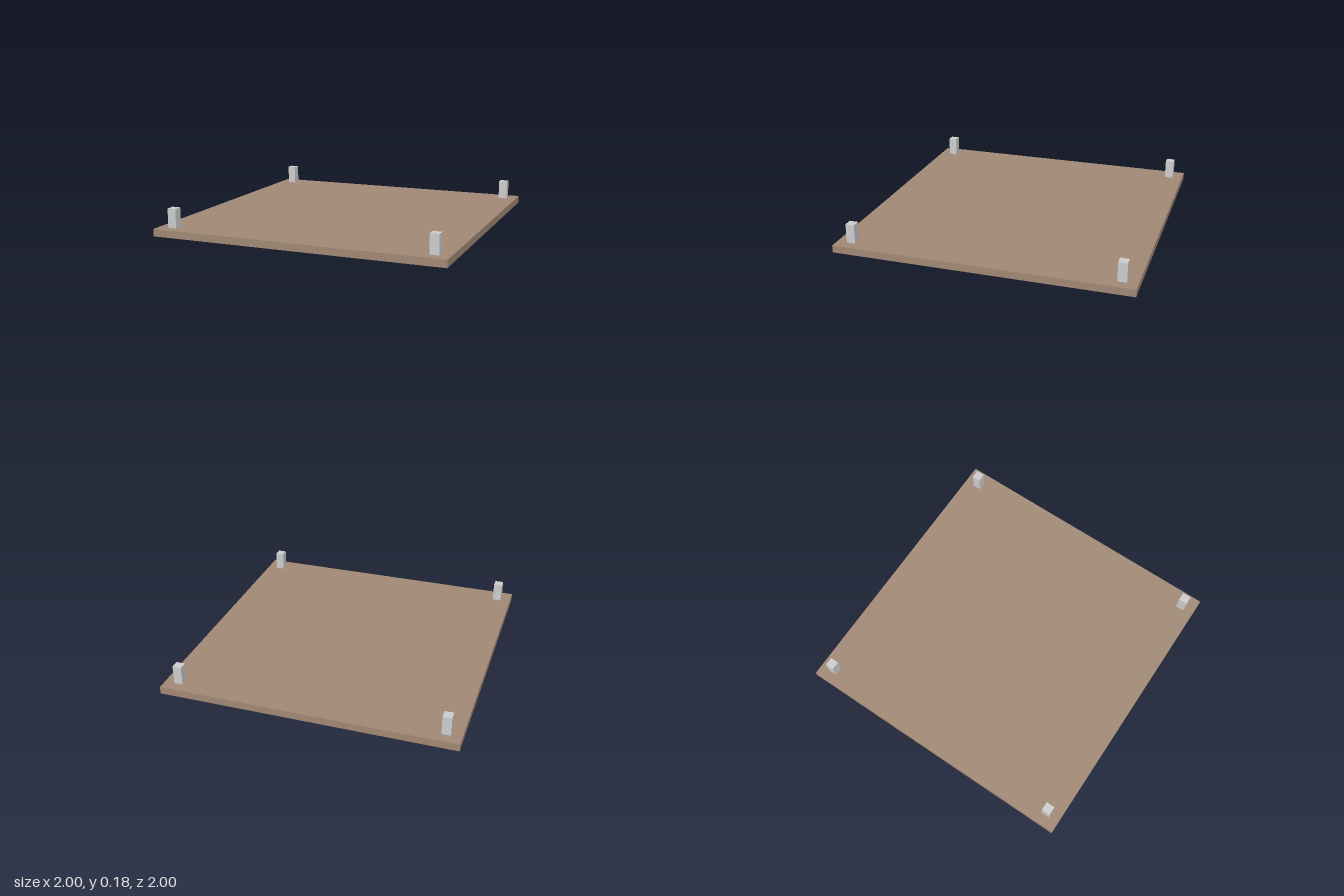
import * as THREE from 'three';

const SLAB_HEIGHT = 0.05;
const POST_WIDTH = 0.06;
const POST_TOP = 0.18;
const POST_OFFSET = 0.9;

function box(name, size, position, material) {
  const mesh = new THREE.Mesh(new THREE.BoxGeometry(...size), material);
  mesh.name = name;
  mesh.position.set(...position);
  return mesh;
}

export function createModel() {
  const group = new THREE.Group();
  group.name = 'platform';

  const brown = new THREE.MeshStandardMaterial({ color: 0xa08874 });
  const grey = new THREE.MeshStandardMaterial({ color: 0xcccccc });

  // Square base slab
  group.add(box('baseSlab', [2, SLAB_HEIGHT, 2], [0, SLAB_HEIGHT / 2, 0], brown));

  // One short post standing on the slab near each corner
  const height = POST_TOP - SLAB_HEIGHT;
  for (const [zName, z] of [['front', 1], ['back', -1]]) {
    for (const [xName, x] of [['Left', 1], ['Right', -1]]) {
      group.add(box(
        `${zName}${xName}Post`,
        [POST_WIDTH, height, POST_WIDTH],
        [x * POST_OFFSET, SLAB_HEIGHT + height / 2, z * POST_OFFSET],
        grey,
      ));
    }
  }

  return group;
}
